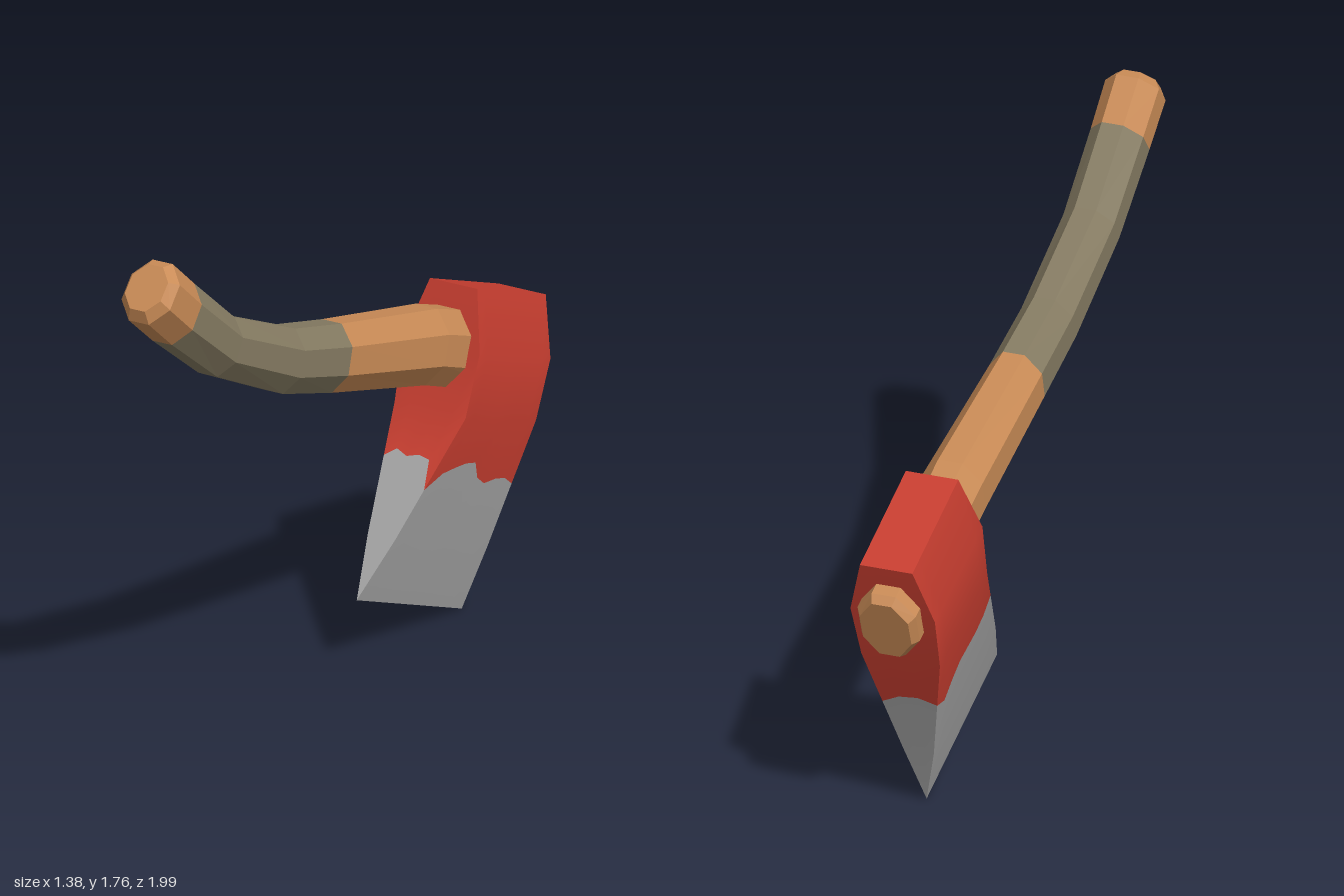
import * as THREE from 'three';

const mat = (name, color) => {
  const m = new THREE.MeshStandardMaterial({ color });
  m.name = name;
  return m;
};

// Faceted octagonal loft along a path of [x, y, halfHeight, halfWidth]
function ringsFor(path) {
  return path.map(([x, y, h, w], i) => {
    const a = path[Math.max(i - 1, 0)], b = path[Math.min(i + 1, path.length - 1)];
    const before = new THREE.Vector2(x - a[0], y - a[1]).normalize();
    const after = new THREE.Vector2(b[0] - x, b[1] - y).normalize();
    const t = before.add(after).normalize();
    const ring = [];
    for (let k = 0; k < 8; k++) {
      const ang = (k + 0.5) * Math.PI / 4, r = 1 / Math.cos(Math.PI / 8);
      const n = Math.cos(ang) * h * r;
      ring.push(new THREE.Vector3(x - t.y * n, y + t.x * n, Math.sin(ang) * w * r));
    }
    return ring;
  });
}

function loft(rings, capStart, capEnd) {
  const tris = [];
  for (let j = 0; j < rings.length - 1; j++) {
    const a = rings[j], b = rings[j + 1];
    for (let i = 0; i < 8; i++) {
      const n = (i + 1) % 8;
      tris.push(a[i], a[n], b[n], a[i], b[n], b[i]);
    }
  }
  const first = rings[0], last = rings[rings.length - 1];
  for (let i = 1; i < 7; i++) {
    if (capStart) tris.push(first[0], first[i + 1], first[i]);
    if (capEnd) tris.push(last[0], last[i], last[i + 1]);
  }
  const g = new THREE.BufferGeometry().setFromPoints(tris);
  g.computeVertexNormals();
  return g;
}

// Head cross-sections from poll to cutting edge: front x, y, back x, y, half thickness
const HEAD = [
  [0.722, 1.13, 1.128, 0.98, 0.09],
  [0.65, 0.94, 1.07, 0.79, 0.145],
  [0.582, 0.74, 1.0, 0.6, 0.135],
  [0.294, 0.4, 0.84, 0.2, 0.052],
  [0.147, 0.23, 0.77, 0.0, 0],
];

// Corners in order: front right, front left, back left, back right
function corner(row, c) {
  const r = HEAD[row], back = c >= 2, side = c === 1 || c === 2 ? 1 : -1;
  return new THREE.Vector3(r[back ? 2 : 0], r[back ? 3 : 1], side * r[4]);
}

// Wavy paint line on each side, as a fraction between section 2 and section 3
const PAINT = [
  [0.4, 0.33, 0.37, 0.34, 0.36, 0.59],
  [0.59, 0.45, 0.4, 0.36, 0.35, 0.47, 0.51, 0.47, 0.46, 0.5],
  [0.5, 0.42, 0.4, 0.45],
  [0.45, 0.57, 0.5, 0.46, 0.48, 0.5, 0.48, 0.4],
];

function headSide(side, painted) {
  const line = PAINT[side], cols = line.length, pts = [], index = [];
  const at = (row, t) => corner(row, side).lerp(corner(row, (side + 1) % 4), t);
  line.forEach((f, i) => {
    const t = i / (cols - 1);
    const border = at(2, t).lerp(at(3, t), f);
    pts.push(...(painted ? [at(0, t), at(1, t), at(2, t), border] : [border, at(3, t), at(4, t)]));
  });
  const n = painted ? 4 : 3;
  for (let i = 0; i < cols - 1; i++) {
    for (let j = 0; j < n - 1; j++) {
      const a = i * n + j, b = a + n;
      index.push(a, a + 1, b, b, a + 1, b + 1);
    }
  }
  const g = new THREE.BufferGeometry().setFromPoints(pts);
  g.setIndex(index);
  g.computeVertexNormals();
  return g;
}

export function createModel() {
  const wood = mat('wood', 0xc98b56);
  const grip = mat('grip wrap', 0x857b62);
  const red = mat('red paint', 0xc83e30);
  const steel = mat('bare steel', 0xa4a4a4);

  const model = new THREE.Group();
  model.name = 'axe';
  const add = (parent, name, geometry, material) => {
    const m = new THREE.Mesh(geometry, material);
    m.name = name;
    parent.add(m);
  };

  // Curved handle, from the butt to the end that pokes through the head
  const handle = new THREE.Group();
  handle.name = 'handle';
  const rings = ringsFor([
    [-1.1, 1.705, 0.08, 0.068],
    [-1.075, 1.682, 0.108, 0.092],
    [-0.94, 1.57, 0.107, 0.09],
    [-0.685, 1.375, 0.1, 0.088],
    [-0.31, 1.205, 0.107, 0.088],
    [-0.03, 1.125, 0.113, 0.09],
    [0.524, 0.985, 0.125, 0.102],
    [1.105, 0.775, 0.13, 0.1],
    [1.133, 0.765, 0.112, 0.083],
  ]);
  add(handle, 'butt', loft(rings.slice(0, 3), true, false), wood);
  add(handle, 'grip', loft(rings.slice(2, 6), false, false), grip);
  add(handle, 'shaft', loft(rings.slice(5), false, true), wood);

  // Wedge head: painted upper part and bare blade
  const head = new THREE.Group();
  head.name = 'head';
  for (let s = 0; s < 4; s++) {
    add(head, 'paintedSide' + s, headSide(s, true), red);
    add(head, 'bladeSide' + s, headSide(s, false), steel);
  }
  const c = [0, 1, 2, 3].map((i) => corner(0, i));
  const top = new THREE.BufferGeometry().setFromPoints([c[0], c[1], c[2], c[0], c[2], c[3]]);
  top.computeVertexNormals();
  add(head, 'headTop', top, red);

  // Turn the whole axe to its diagonal pose
  const pose = new THREE.Group();
  pose.name = 'axeBody';
  pose.add(handle, head);
  pose.rotation.y = THREE.MathUtils.degToRad(57);
  pose.position.set(-0.008, 0, -0.005);
  model.add(pose);
  return model;
}
